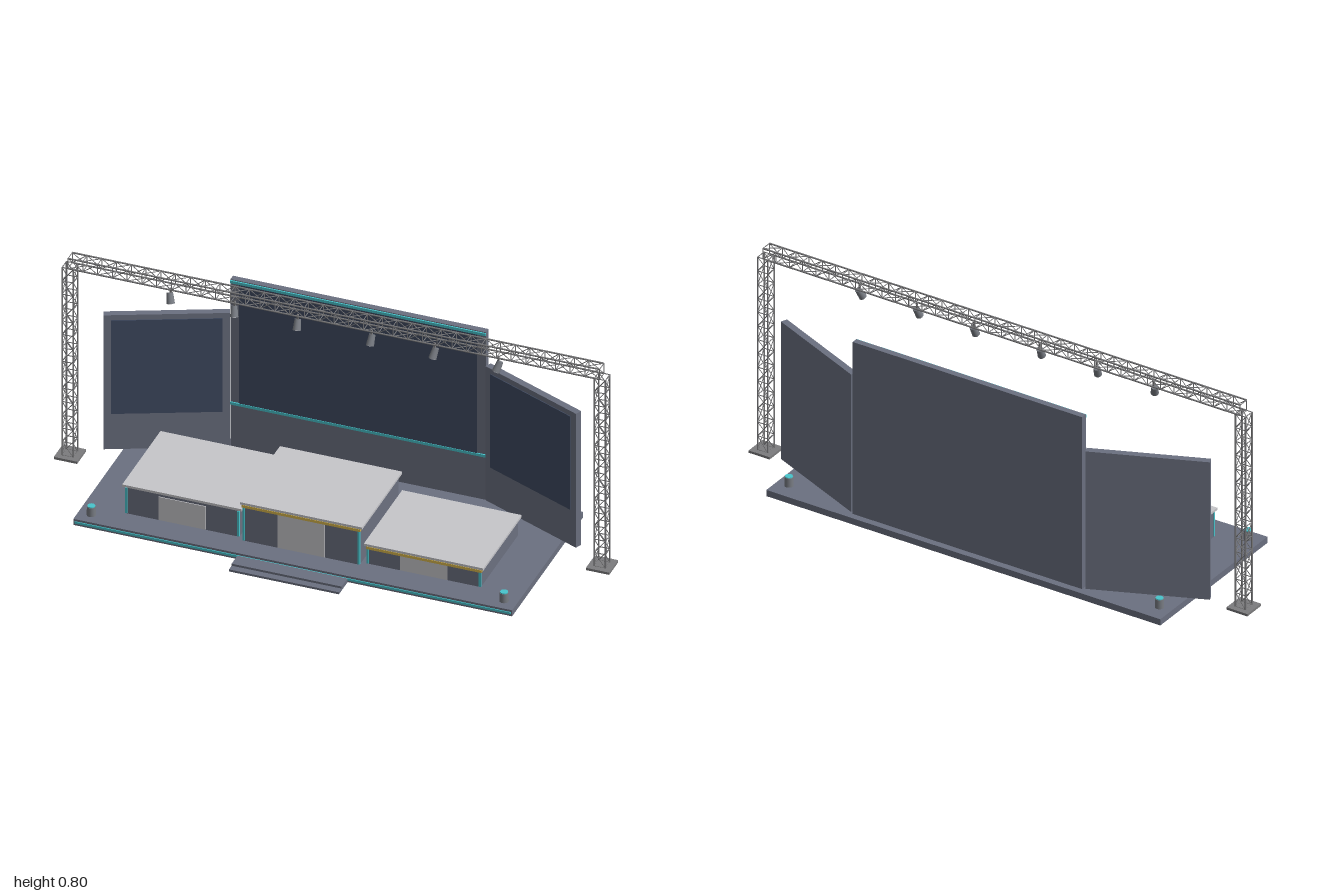
import * as THREE from 'three';
import { mergeGeometries } from 'three/addons/utils/BufferGeometryUtils.js';

const mat = (name, color) => {
  const m = new THREE.MeshStandardMaterial({ color });
  m.name = name;
  return m;
};

export function createModel() {
  const slate = mat('slate', 0x6b7080);
  const screenBlue = mat('screenBlue', 0x3f4a61);
  const paleGrey = mat('paleGrey', 0xc6c6ca);
  const steel = mat('steel', 0x7c7c7e);
  const cyan = mat('cyan', 0x48c4cc);
  const yellow = mat('yellow', 0xd6b54c);
  const fixtureGrey = mat('fixtureGrey', 0x777b82);

  const model = new THREE.Group();
  model.name = 'stage';

  const add = (parent, name, geo, material, x = 0, y = 0, z = 0) => {
    const mesh = new THREE.Mesh(geo, material);
    mesh.name = name;
    mesh.position.set(x, y, z);
    parent.add(mesh);
    return mesh;
  };
  // Box given by its limits on each axis
  const box = (parent, name, material, x0, x1, y0, y1, z0, z1) =>
    add(parent, name, new THREE.BoxGeometry(x1 - x0, y1 - y0, z1 - z0), material,
      (x0 + x1) / 2, (y0 + y1) / 2, (z0 + z1) / 2);
  const group = (name) => {
    const g = new THREE.Group();
    g.name = name;
    model.add(g);
    return g;
  };

  // Platform, front light strip and steps
  box(model, 'platform', slate, -0.79, 0.79, 0.002, 0.026, -0.37, 0.288);
  box(model, 'platformLight', cyan, -0.785, 0.785, 0.01, 0.018, 0.286, 0.291);
  box(model, 'upperStep', slate, -0.198, 0.198, 0.002, 0.018, 0.288, 0.345);
  box(model, 'lowerStep', slate, -0.198, 0.198, 0.002, 0.01, 0.288, 0.37);

  // Three podiums with tops, front panels and edge lights
  const podium = (name, x, half, top, front, trim) => {
    const g = group(name);
    const body = half - 0.01;
    box(g, 'podiumBody', slate, x - body, x + body, 0.026, top - 0.009, -0.155, front - 0.004);
    box(g, 'podiumTop', paleGrey, x - half, x + half, top - 0.009, top, -0.162, front);
    box(g, 'frontPanel', paleGrey, x - 0.085, x + 0.085, 0.028, top - 0.02, front - 0.006, front - 0.001);
    for (const s of [-1, 1]) {
      const cx = x + s * (body - 0.003);
      box(g, 'edgeLight', cyan, cx - 0.004, cx + 0.004, 0.028, top - 0.012, front - 0.008, front - 0.001);
    }
    if (trim) box(g, 'trimLight', yellow, x - body - 0.003, x + body + 0.003, top - 0.02, top - 0.01, front - 0.016, front);
  };
  podium('rightPodium', -0.435, 0.215, 0.14, 0.195, false);
  podium('centrePodium', 0, 0.22, 0.179, 0.212, true);
  podium('leftPodium', 0.435, 0.215, 0.105, 0.195, true);

  // Back wall with main screen and light strips
  const wall = group('backWall');
  box(wall, 'wallPanel', slate, -0.46, 0.46, 0.026, 0.694, -0.345, -0.322);
  box(wall, 'mainScreen', screenBlue, -0.428, 0.428, 0.205, 0.68, -0.322, -0.319);
  for (const y of [0.202, 0.686])
    box(wall, 'wallLight', cyan, -0.46, 0.46, y - 0.005, y + 0.005, -0.323, -0.317);

  // Angled side walls
  for (const s of [-1, 1]) {
    const wing = group('sideWall');
    box(wing, 'sidePanel', slate, -0.2125, 0.2125, 0.028, 0.562, -0.0125, 0.0125);
    box(wing, 'sideScreen', screenBlue, -0.187, 0.187, 0.17, 0.542, 0.0125, 0.0155);
    wing.position.set(s * 0.66, 0, -0.245);
    wing.rotation.y = -s * 0.405;
  }

  // Lattice truss along local y: four chords, rings and zigzag bracing
  const bar = (a, b, r) => {
    const d = b.clone().sub(a);
    const geo = new THREE.CylinderGeometry(r, r, d.length(), 6);
    geo.applyQuaternion(new THREE.Quaternion().setFromUnitVectors(
      new THREE.Vector3(0, 1, 0), d.normalize()));
    const mid = a.clone().add(b).multiplyScalar(0.5);
    return geo.translate(mid.x, mid.y, mid.z);
  };
  const truss = (length, bays) => {
    const h = 0.02, parts = [];
    const corner = (i, y) => {
      const k = i % 4;
      return new THREE.Vector3(k === 0 || k === 3 ? -h : h, y, k < 2 ? -h : h);
    };
    for (let i = 0; i < 4; i++) {
      parts.push(bar(corner(i, 0), corner(i, length), 0.003));
      for (let j = 0; j <= bays; j++) {
        const y0 = length * j / bays, y1 = length * (j + 1) / bays;
        parts.push(bar(corner(i, y0), corner(i + 1, y0), 0.0017));
        if (j === bays) continue;
        const flip = j % 2;
        parts.push(bar(corner(i + flip, y0), corner(i + 1 - flip, y1), 0.0015));
      }
    }
    return mergeGeometries(parts);
  };
  const tz = -0.115;
  for (const s of [-1, 1]) {
    box(model, 'towerBase', steel, s * 0.958 - 0.042, s * 0.958 + 0.042, 0, 0.009, tz - 0.042, tz + 0.042);
    add(model, 'tower', truss(0.748, 14), steel, s * 0.958, 0.009, tz);
  }
  const beam = add(model, 'overheadBeam', truss(1.914, 36), steel, 0.957, 0.777, tz);
  beam.rotation.z = Math.PI / 2;

  // Spotlights aimed towards the middle of the stage
  for (const x of [-0.59, -0.36, -0.133, 0.133, 0.36, 0.59]) {
    const g = group('spotlight');
    g.position.set(x, 0.722, -0.098);
    box(g, 'hanger', steel, -0.003, 0.003, 0, 0.038, -0.008, -0.002);
    const lamp = new THREE.Group();
    lamp.name = 'lamp';
    lamp.rotation.set(-0.45, 0, -x * 0.45);
    g.add(lamp);
    add(lamp, 'lampBody', new THREE.CylinderGeometry(0.011, 0.014, 0.038, 16), fixtureGrey);
    add(lamp, 'lampLens', new THREE.CylinderGeometry(0.011, 0.011, 0.002, 16), paleGrey, 0, -0.0195, 0);
  }

  // Corner light pots
  for (const x of [-0.743, 0.743]) for (const z of [-0.303, 0.242]) {
    add(model, 'potBody', new THREE.CylinderGeometry(0.015, 0.016, 0.034, 16), fixtureGrey, x, 0.043, z);
    add(model, 'potLight', new THREE.CylinderGeometry(0.0135, 0.0135, 0.004, 16), cyan, x, 0.061, z);
  }
  return model;
}
